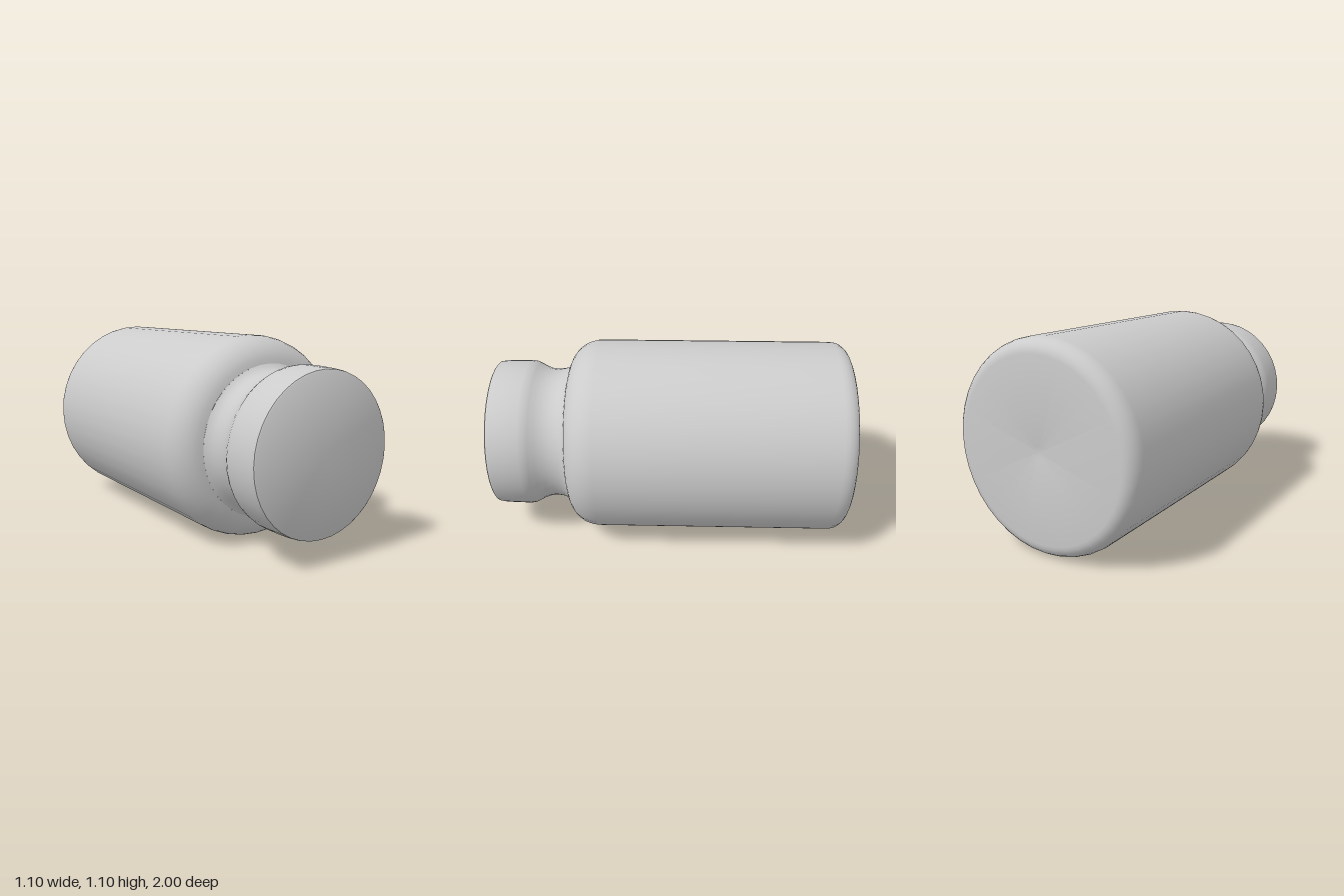
import * as THREE from 'three';
import { toCreasedNormals } from 'three/addons/utils/BufferGeometryUtils.js';

const SIDES = 40;
const AXIS_Y = 0.555; // height of the bottle's lying axis

// Turned part along +z from [radius, z] pairs, listed back to front
function turned(name, profile, material) {
  const points = profile.map(([r, z]) => new THREE.Vector2(r, z));
  const lathe = new THREE.LatheGeometry(points, SIDES).rotateX(Math.PI / 2);
  const mesh = new THREE.Mesh(toCreasedNormals(lathe, 0.75), material);
  mesh.name = name;
  return mesh;
}

// Points of a rounded corner: quarter ellipse about (r, z)
function corner(r, z, dr, dz, from, to, steps = 6) {
  return Array.from({ length: steps + 1 }, (_, i) => {
    const a = from + ((to - from) * i) / steps;
    return [r + dr * Math.cos(a), z + dz * Math.sin(a)];
  });
}

export function createModel() {
  const group = new THREE.Group();
  group.name = 'bottle';
  const material = new THREE.MeshStandardMaterial({ color: 0xcccccc, side: THREE.DoubleSide });

  // Flat base, rounded heel, straight wall and rounded shoulder
  const body = turned('body', [
    [0, -0.985], [0.03, -0.995],
    ...corner(0.475, -0.91, 0.075, 0.088, -Math.PI / 2, 0),
    ...corner(0.39, 0.4, 0.16, 0.175, 0, Math.PI * 0.46, 8),
  ], material);

  // Narrow waisted neck, flaring into the cap
  const neck = turned('neck', [
    [0.41, 0.574], [0.392, 0.59], [0.381, 0.62], [0.375, 0.66],
    [0.379, 0.7], [0.393, 0.74], [0.41, 0.77],
  ], material);

  // Cap with a straight rim and flat front
  const cap = turned('cap', [
    [0.41, 0.77], [0.42, 0.79], [0.425, 0.82], [0.424, 0.9],
    [0.421, 0.97], [0.417, 0.995], [0.41, 1], [0, 1],
  ], material);

  const bottle = [body, neck, cap];
  bottle.forEach((part) => { part.position.y = AXIS_Y; });
  group.add(...bottle);
  return group;
}
